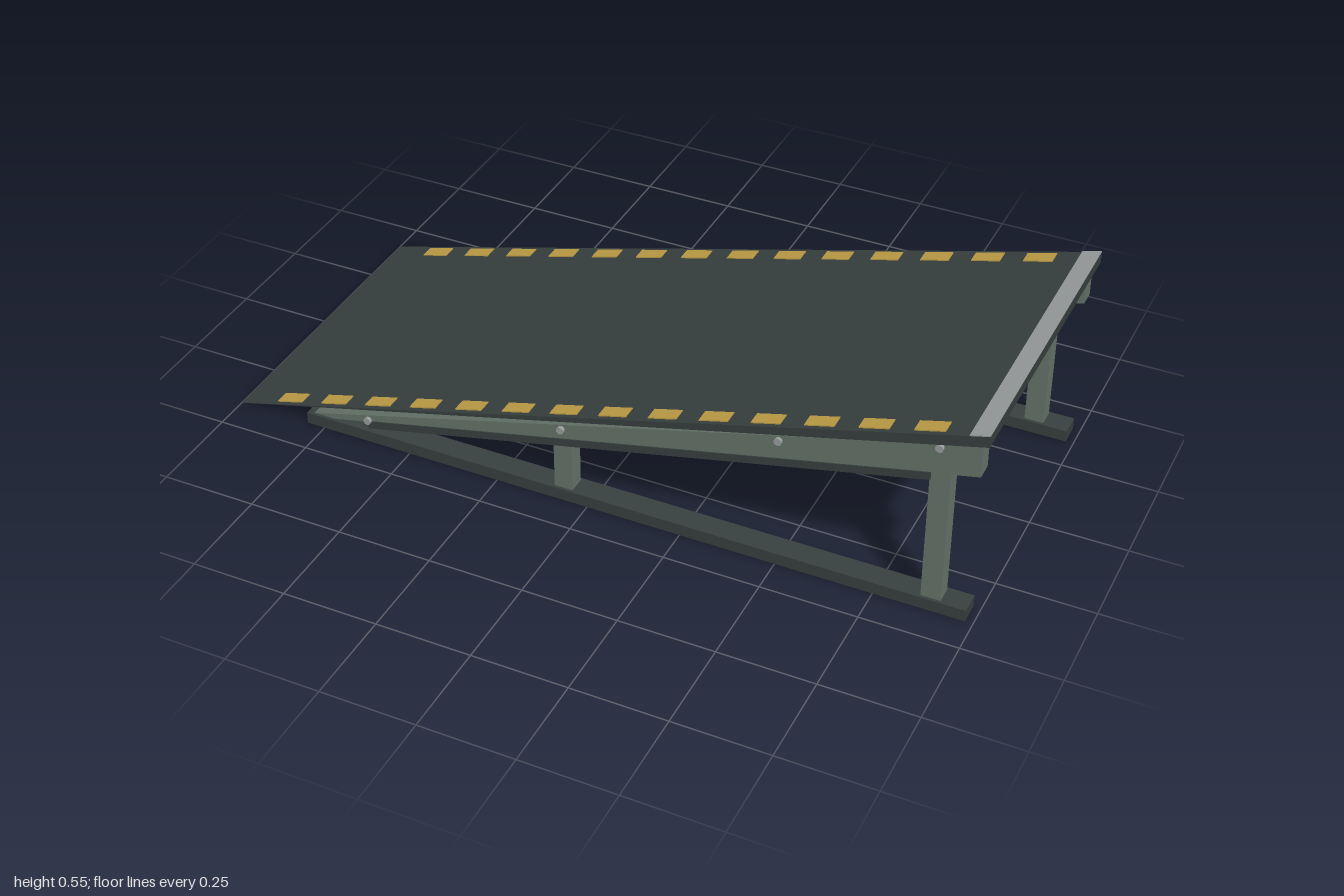
import * as THREE from 'three';

const material = (name, color) => {
  const m = new THREE.MeshStandardMaterial({ color });
  m.name = name;
  return m;
};

export function createModel() {
  const model = new THREE.Group();
  model.name = 'ramp';
  const dark = material('dark steel', 0x384040);
  const green = material('green frame', 0x66756a);
  const gold = material('yellow marking', 0xc2a048);
  const steel = material('bare steel', 0x9a9f9f);

  const add = (name, geometry, mat) => {
    const mesh = new THREE.Mesh(geometry, mat);
    mesh.name = name;
    model.add(mesh);
    return mesh;
  };
  // Side outline in x and y, extruded from z0 to z1
  const slab = (name, points, z0, z1, mat) => {
    const shape = new THREE.Shape(points.map(([x, y]) => new THREE.Vector2(x, y)));
    const geometry = new THREE.ExtrudeGeometry(shape, { depth: z1 - z0, bevelEnabled: false });
    geometry.translate(0, 0, z0);
    return add(name, geometry, mat);
  };
  const box = (name, x0, x1, y0, y1, z0, z1, mat) => {
    const mesh = add(name, new THREE.BoxGeometry(x1 - x0, y1 - y0, z1 - z0), mat);
    mesh.position.set((x0 + x1) / 2, (y0 + y1) / 2, (z0 + z1) / 2);
    return mesh;
  };

  const deckTop = (x) => 0.2725 * (x + 1);
  const beamBottom = (x) => 0.42 + 0.228 * (x - 0.98);
  const halfWidth = 0.408;

  // Wedge deck and the landing lip at its high end
  slab('deck', [[-1, 0], [1, 0.515], [1, 0.545]], -halfWidth, halfWidth, dark);
  slab('landingLip', [[0.952, deckTop(0.952)], [1, 0.545], [1, 0.548], [0.952, deckTop(0.952) + 0.003]],
    -halfWidth, halfWidth, steel);

  for (const side of [1, -1]) {
    // Extrude between two distances from the centre line on this side
    const sideSlab = (name, points, a, b, mat) =>
      slab(name, points, side > 0 ? a : -b, side > 0 ? b : -a, mat);

    // Edge markings
    for (let i = 0; i < 14; i++) {
      const x = -0.857 + i * 0.1318;
      const l = x - 0.037, r = x + 0.037;
      sideSlab('edgeMarking', [
        [l, deckTop(l) - 0.003], [r, deckTop(r) - 0.003],
        [r, deckTop(r) + 0.003], [l, deckTop(l) + 0.003],
      ], 0.358, 0.396, gold);
    }

    // Ground rail
    sideSlab('groundRail', [[-0.8, 0], [0.98, 0], [0.98, 0.032], [-0.8, 0.032]], 0.347, 0.408, dark);

    // Tapered side beam with its lower flange
    sideSlab('sideBeam', [[-0.79, beamBottom(-0.79)], [0.984, beamBottom(0.984)], [0.984, 0.51], [-0.79, 0.03]],
      0.355, 0.4, green);
    sideSlab('beamFlange', [
      [-0.62, beamBottom(-0.62) - 0.018], [0.868, beamBottom(0.868) - 0.018],
      [0.868, beamBottom(0.868) + 0.003], [-0.62, beamBottom(-0.62) + 0.003],
    ], 0.352, 0.403, dark);

    // Posts cut to the slope of the beam
    for (const [l, r] of [[-0.092, -0.043], [0.865, 0.915]]) {
      sideSlab('post', [[l, 0.03], [r, 0.03], [r, beamBottom(r)], [l, beamBottom(l)]], 0.355, 0.4, green);
    }

    // Bolts on the outer face of the beam
    for (const [x, y] of [[-0.62, 0.062], [-0.07, 0.212], [0.497, 0.365], [0.885, 0.474]]) {
      const bolt = add('bolt', new THREE.CylinderGeometry(0.01, 0.01, 0.012, 12), steel);
      bolt.rotation.x = Math.PI / 2;
      bolt.position.set(x, y, side * 0.403);
    }
  }

  // Cross members between the beams
  box('lowerCrossMember', -0.087, -0.047, 0.15, 0.19, -0.342, 0.342, dark);
  box('upperCrossMember', 0.87, 0.91, 0.41, 0.45, -0.342, 0.342, dark);

  return model;
}
